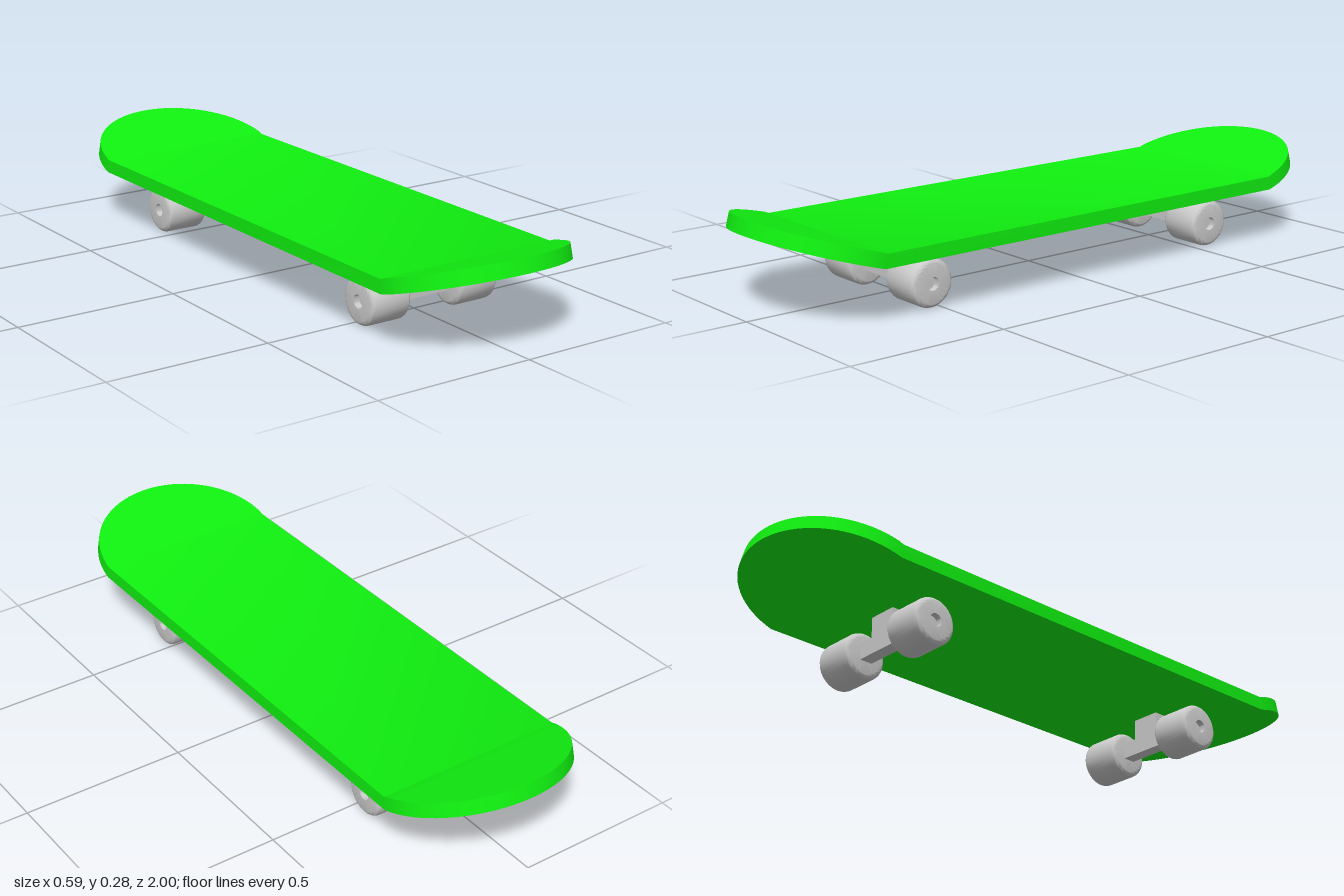
import * as THREE from 'three';
import { toCreasedNormals } from 'three/addons/utils/BufferGeometryUtils.js';

const grey = new THREE.MeshStandardMaterial({ color: 0xcccccc });
const green = new THREE.MeshStandardMaterial({ color: 0x10f010 });

// Flat board with elliptical ends that kick upward past the bend lines
function deckGeometry() {
  const bend = 0.74, reach = 0.26, halfWidth = 0.297, thickness = 0.042, bottom = 0.168, slope = 0.29;
  const steps = 20, rows = [];
  for (let i = 0; i <= steps; i++) {
    const a = (i / steps) * Math.PI / 2;
    rows.push([bend + reach * Math.sin(a), Math.max(halfWidth * Math.cos(a), 0.002)]);
  }
  const all = [...rows.map(([z, w]) => [-z, w]).reverse(), ...rows];
  const n = all.length - 1;
  const geo = new THREE.BoxGeometry(2, 1, 2, 1, 1, n);
  const p = geo.attributes.position;
  for (let i = 0; i < p.count; i++) {
    const [z, w] = all[Math.round((p.getZ(i) + 1) / 2 * n)];
    const up = (p.getY(i) + 0.5) * thickness;
    const past = Math.abs(z) - bend;
    const lean = up * (past > 0.001 ? slope : slope / 2);
    p.setXYZ(i, p.getX(i) * w, bottom + up + past * slope, z - Math.sign(z) * lean);
  }
  return toCreasedNormals(geo, 0.5);
}

// Rounded wheel turned about its axle, with a small recess on the outer face
function wheelGeometry() {
  const r = 0.072, h = 0.0675, b = 0.017;
  const pts = [[0, -h], [r - b, -h]];
  const arc = (cy, from) => {
    for (let i = 1; i <= 6; i++) {
      const a = from + (i / 6) * Math.PI / 2;
      pts.push([r - b + b * Math.cos(a), cy + b * Math.sin(a)]);
    }
  };
  arc(-h + b, -Math.PI / 2);
  pts.push([r, h - b]);
  arc(h - b, 0);
  pts.push([0.02, h], [0.02, h - 0.02], [0, h - 0.02]);
  const geo = new THREE.LatheGeometry(pts.map(([x, y]) => new THREE.Vector2(x, y)), 40);
  return toCreasedNormals(geo, 0.6).rotateZ(-Math.PI / 2);
}

// Upside-down T: post under the deck and the axle bar
function hangerGeometry() {
  const s = new THREE.Shape();
  [[-0.1, 0.053], [0.105, 0.053], [0.105, 0.104], [0.04, 0.104],
    [0.04, 0.172], [-0.053, 0.172], [-0.053, 0.107], [-0.1, 0.107]]
    .forEach(([x, y], i) => (i ? s.lineTo(x, y) : s.moveTo(x, y)));
  return new THREE.ExtrudeGeometry(s, { depth: 0.042, bevelEnabled: false }).translate(0, 0, -0.021);
}

export function createModel() {
  const board = new THREE.Group();
  board.name = 'skateboard';
  const add = (parent, name, geo, mat) => {
    const m = new THREE.Mesh(geo, mat);
    m.name = name;
    parent.add(m);
    return m;
  };
  add(board, 'deck', deckGeometry(), green);

  const wheel = wheelGeometry(), hanger = hangerGeometry();
  for (const [name, z] of [['front', 0.53], ['rear', -0.55]]) {
    const truck = new THREE.Group();
    truck.name = name + 'Truck';
    truck.position.z = z;
    add(truck, name + 'Hanger', hanger, grey);
    for (const side of [1, -1]) {
      const w = add(truck, name + (side > 0 ? 'Left' : 'Right') + 'Wheel', wheel, grey);
      w.position.set(0.0025 + side * 0.155, 0.073, 0);
      if (side < 0) w.rotation.y = Math.PI;
    }
    board.add(truck);
  }
  return board;
}
